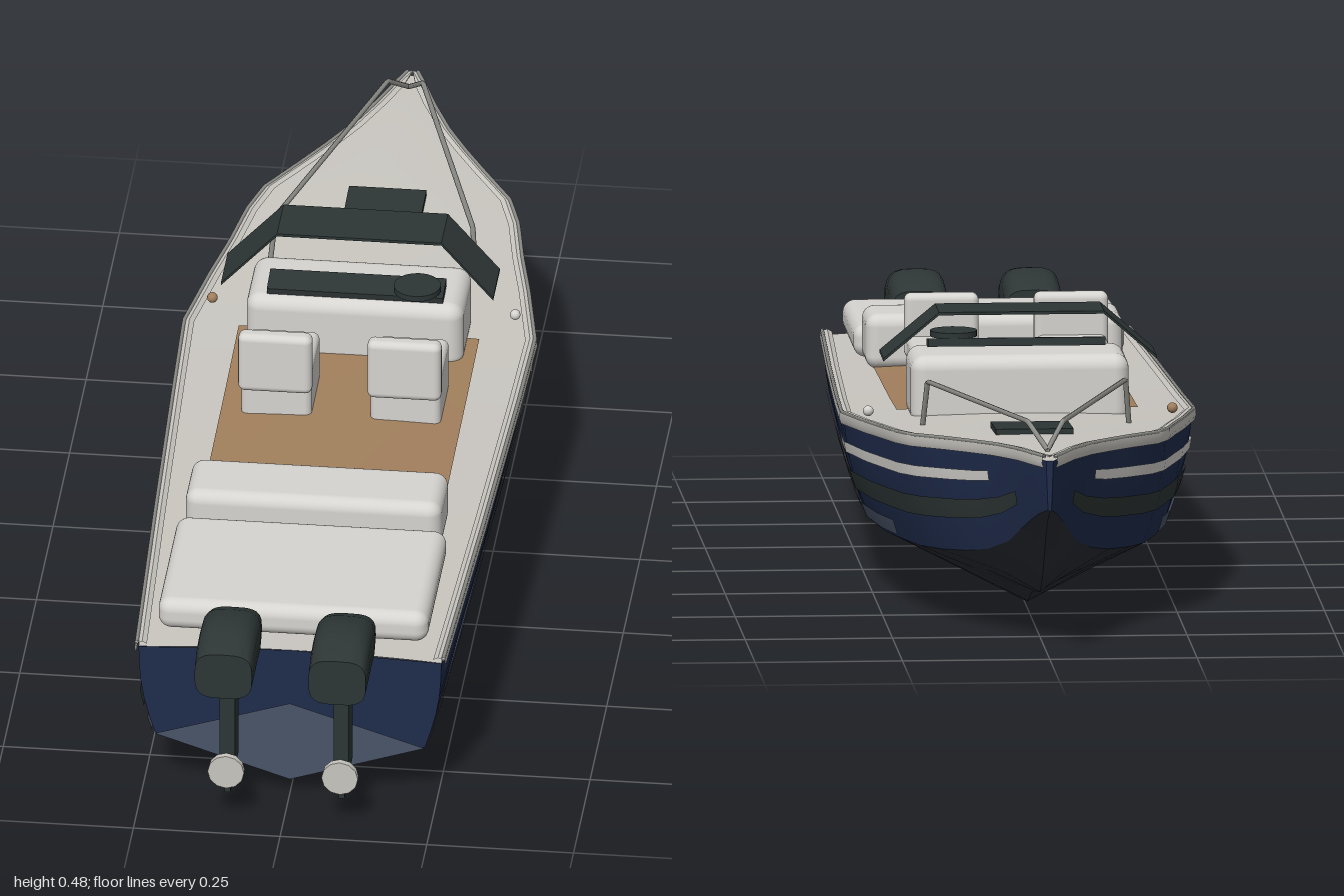
import * as THREE from 'three';
import { toCreasedNormals } from 'three/addons/utils/BufferGeometryUtils.js';
import { RoundedBoxGeometry } from 'three/addons/geometries/RoundedBoxGeometry.js';

const mat = (name, color) => {
  const m = new THREE.MeshStandardMaterial({ color, side: THREE.DoubleSide });
  m.name = name;
  return m;
};
const M = {
  navy: mat('navy hull', 0x1f2c4c),
  bottom: mat('bottom paint', 0x2b2d34),
  slate: mat('slate', 0x4a5468),
  deck: mat('deck grey', 0xc9c6c0),
  cushion: mat('cushion white', 0xd6d4d0),
  teak: mat('teak', 0xa17f5c),
  dark: mat('dark green grey', 0x2d3635),
  metal: mat('metal grey', 0x8c8c88),
};

// hull stations: z, sheer x, sheer y, chine x, chine y, keel y
const ST = [
  [0.85, 0.258, 0.271, 0.230, 0.105, 0.030],
  [0.40, 0.276, 0.279, 0.242, 0.110, 0.017],
  [0.00, 0.290, 0.288, 0.250, 0.115, 0.008],
  [-0.20, 0.296, 0.296, 0.250, 0.119, 0.003],
  [-0.35, 0.268, 0.304, 0.235, 0.123, 0.002],
  [-0.45, 0.246, 0.310, 0.215, 0.126, 0.016],
  [-0.55, 0.228, 0.317, 0.190, 0.129, 0.046],
  [-0.62, 0.206, 0.322, 0.162, 0.134, 0.060],
  [-0.70, 0.153, 0.328, 0.120, 0.143, 0.070],
  [-0.76, 0.115, 0.332, 0.088, 0.155, 0.080],
  [-0.82, 0.080, 0.336, 0.058, 0.177, 0.115],
  [-0.90, 0.044, 0.340, 0.030, 0.222, 0.195],
  [-0.95, 0.026, 0.341, 0.016, 0.243, 0.232],
  [-1.00, 0.006, 0.342, 0.003, 0.258, 0.255],
];
function station(z) {
  let i = 0;
  while (i < ST.length - 2 && z < ST[i + 1][0]) i++;
  const a = ST[i], b = ST[i + 1], t = (z - a[0]) / (b[0] - a[0]);
  return a.map((v, k) => v + (b[k] - v) * t);
}
const zRange = (from, to) => [from, ...ST.map(s => s[0]).filter(z => z < from - 0.01 && z > to + 0.01), to];

// point on the topsides: s = 0 at the chine, 1 at the sheer
function sidePoint(z, s, side, out = 0) {
  const [, xs, ys, xc, yc] = station(z);
  const bulge = 0.035 * xc * Math.sin(Math.PI * s);
  return [side * (xc + (xs - xc) * s + bulge + out), yc + (ys - yc) * s, z];
}
function deckPoint(z, x, lift = 0) {
  const [, xs, ys] = station(z);
  return [x, ys + 0.035 * xs * (1 - (x / xs) ** 2) + lift, z];
}

// surface through rows of points
function loft(rows, crease = 0.6) {
  const n = rows[0].length, idx = [];
  for (let i = 0; i < rows.length - 1; i++)
    for (let j = 0; j < n - 1; j++) {
      const a = i * n + j, b = a + n;
      idx.push(a, a + 1, b, b, a + 1, b + 1);
    }
  const g = new THREE.BufferGeometry();
  g.setAttribute('position', new THREE.Float32BufferAttribute(rows.flat(2), 3));
  g.setIndex(idx);
  g.computeVertexNormals();
  return toCreasedNormals(g, crease);
}

export function createModel() {
  const boat = new THREE.Group();
  boat.name = 'motorboat';
  const add = (name, geo, material, x = 0, y = 0, z = 0, parent = boat) => {
    const m = new THREE.Mesh(geo, material);
    m.name = name;
    m.position.set(x, y, z);
    parent.add(m);
    return m;
  };
  // rounded box given by its limits
  const cushion = (name, x0, x1, y0, y1, z0, z1, r) =>
    add(name, new RoundedBoxGeometry(x1 - x0, y1 - y0, z1 - z0, 4, r), M.cushion,
      (x0 + x1) / 2, (y0 + y1) / 2, (z0 + z1) / 2);
  const tube = (name, pts, r, material) => {
    const path = new THREE.CurvePath();
    const v = pts.map(p => new THREE.Vector3(...p));
    for (let i = 0; i < v.length - 1; i++) path.add(new THREE.LineCurve3(v[i], v[i + 1]));
    return add(name, new THREE.TubeGeometry(path, 80, r, 6), material);
  };

  // hull sides, bottom and painted stripes
  const zs = zRange(0.85, -1);
  const steps = [0, 0.2, 0.4, 0.6, 0.8, 1];
  for (const side of [-1, 1]) {
    add('hullSide', loft(zs.map(z => steps.map(s => sidePoint(z, s, side)))), M.navy);
    const stripe = (name, from, to, s0, s1, material) =>
      add(name, loft(zRange(from, to).map(z =>
        [0, 0.5, 1].map(t => sidePoint(z, s0 + (s1 - s0) * t, side, 0.004)))), material);
    stripe('chineStripe', 0.85, -0.45, 0.03, 0.17, M.slate);
    stripe('darkStripe', 0.85, -0.88, 0.3, 0.48, M.dark);
    stripe('whiteStripe', -0.07, -0.8, 0.66, 0.76, M.cushion);
    // gunwale trim along the sheer
    add('gunwale', loft(zs.map(z => {
      const [, x, y] = station(z);
      return [[0.004, -0.012], [0.007, -0.004], [0.006, 0.007], [-0.006, 0.01], [-0.014, 0.006]]
        .map(([dx, dy]) => [side * Math.max(x + dx, 0), y + dy, z]);
    })), M.deck);
    tube('trimLine', zs.map(z => [side * (station(z)[1] + 0.003), station(z)[2] + 0.008, z]), 0.0035, M.metal);
  }
  add('hullBottom', loft(zs.map(z => {
    const [, , , xc, yc, yk] = station(z);
    return [[-xc, yc, z], [-xc / 2, (yc + yk) / 2, z], [0, yk, z], [xc / 2, (yc + yk) / 2, z], [xc, yc, z]];
  }), 0.3), M.bottom);

  // flat ends: transom and stem
  for (const [name, z] of [['transom', 0.85], ['stem', -1]]) {
    const shape = new THREE.Shape();
    shape.moveTo(0, station(z)[5]);
    steps.forEach(s => shape.lineTo(...sidePoint(z, s, 1).slice(0, 2)));
    shape.lineTo(...deckPoint(z, 0).slice(0, 2));
    [...steps].reverse().forEach(s => shape.lineTo(...sidePoint(z, s, -1).slice(0, 2)));
    add(name, new THREE.ShapeGeometry(shape), M.navy, 0, 0, z);
  }
  const vPanel = new THREE.Shape([[0, 0.03], [0.23, 0.105], [0, 0.178], [-0.23, 0.105]].map(p => new THREE.Vector2(...p)));
  add('transomLowerPanel', new THREE.ShapeGeometry(vPanel), M.slate, 0, 0, 0.854);

  // deck with a slight crown and the cockpit floor
  const across = [-1, -0.75, -0.5, -0.25, 0, 0.25, 0.5, 0.75, 1];
  add('deck', loft(zs.map(z => across.map(t => deckPoint(z, t * station(z)[1])))), M.deck);
  add('cockpitFloor', loft(zRange(0.4, -0.19).map(z => across.map(t => deckPoint(z, t * 0.205, 0.004)))), M.teak);

  // seating and console
  cushion('sunPad', -0.23, 0.23, 0.283, 0.34, 0.51, 0.815, 0.022);
  cushion('rearBench', -0.218, 0.218, 0.283, 0.378, 0.378, 0.51, 0.022);
  for (const x of [-0.11, 0.11]) {
    cushion('seatBase', x - 0.06, x + 0.06, 0.285, 0.388, -0.047, 0.09, 0.012);
    cushion('seatBack', x - 0.063, x + 0.063, 0.35, 0.46, 0.08, 0.112, 0.012);
  }
  cushion('console', -0.185, 0.185, 0.285, 0.407, -0.268, -0.11, 0.025);
  add('dashboard', new THREE.BoxGeometry(0.3, 0.014, 0.055), M.dark, 0, 0.414, -0.155).rotation.x = 0.15;
  add('steeringWheel', new THREE.CylinderGeometry(0.04, 0.04, 0.01, 20), M.dark, 0.105, 0.428, -0.14);

  // windscreen: a bent sheet with its ends swept aft
  const screen = [[-0.232, 0.404, -0.16], [-0.14, 0.487, -0.192], [0.14, 0.487, -0.192], [0.232, 0.404, -0.16]];
  const ring = screen.map(([x, y, z]) =>
    [[x, y, z], [x, y, z - 0.1], [x, y - 0.005, z - 0.1], [x, y - 0.005, z], [x, y, z]]);
  add('windscreen', loft(ring, 0.3), M.dark);

  // foredeck: hatch, bow rail and navigation lights
  add('hatch', new THREE.BoxGeometry(0.132, 0.012, 0.135), M.dark, 0, 0.328, -0.557).rotation.x = 0.06;
  for (const side of [-1, 1]) {
    tube('bowRail', [[side * 0.175, 0.31, -0.398], [side * 0.168, 0.389, -0.42],
      [side * 0.03, 0.393, -0.89], [0, 0.352, -0.945]], 0.0045, M.metal);
    add('navigationLight', new THREE.SphereGeometry(0.009, 14, 10),
      side < 0 ? M.teak : M.cushion, side * 0.258, 0.315, -0.262);
  }

  // outboard engines: section rows are z, half width, bottom, top
  const cowl = [[0.83, 0, 0.31, 0.31], [0.83, 0.047, 0.27, 0.347], [0.87, 0.05, 0.266, 0.365], [0.92, 0.05, 0.265, 0.372],
    [0.96, 0.05, 0.265, 0.366], [1, 0.049, 0.265, 0.35], [1, 0, 0.31, 0.31]];
  const cowlRows = cowl.map(([z, w, y0, y1]) => Array.from({ length: 25 }, (_, i) => {
    const a = i / 24 * Math.PI * 2, c = Math.cos(a), s = Math.sin(a);
    return [w * Math.sign(c) * Math.abs(c) ** 0.6, (y0 + y1) / 2 + (y1 - y0) / 2 * Math.sign(s) * Math.abs(s) ** 0.6, z];
  }));
  for (const x of [-0.097, 0.097]) {
    const engine = new THREE.Group();
    engine.name = 'outboardEngine';
    engine.position.x = x;
    boat.add(engine);
    add('cowl', loft(cowlRows, 0.7), M.dark, 0, 0, 0, engine);
    add('leg', new THREE.BoxGeometry(0.026, 0.18, 0.055), M.dark, 0, 0.185, 0.912, engine);
    add('bracket', new THREE.BoxGeometry(0.05, 0.03, 0.06), M.dark, 0, 0.277, 0.86, engine);
    add('skeg', new THREE.BoxGeometry(0.01, 0.06, 0.035), M.dark, 0, 0.075, 0.917, engine);
    add('gearcase', new THREE.CylinderGeometry(0.012, 0.012, 0.07, 12), M.dark, 0, 0.098, 0.918, engine).rotation.x = Math.PI / 2;
    add('propeller', new THREE.CylinderGeometry(0.031, 0.031, 0.012, 12), M.deck, 0, 0.098, 0.954, engine).rotation.x = Math.PI / 2;
  }
  return boat;
}
